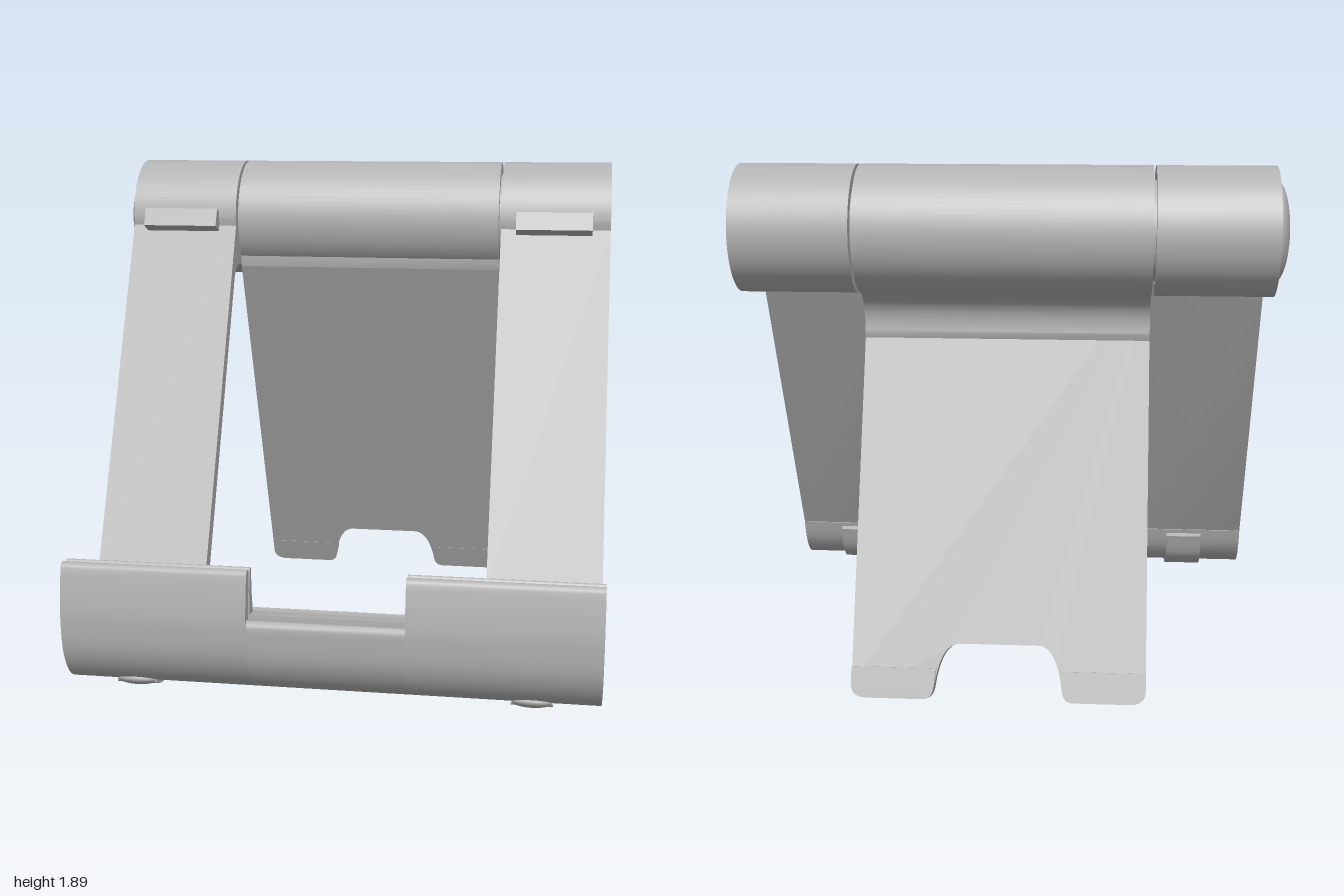
import * as THREE from 'three';
import { toCreasedNormals } from 'three/addons/utils/BufferGeometryUtils.js';

const grey = new THREE.MeshStandardMaterial({ color: 0xb2b2b2 });
grey.name = 'grey plastic';
const HINGE = { z: -0.39, y: 1.66, r: 0.235 };
const V = (z, y) => new THREE.Vector2(z, y);

export function createModel() {
  const model = new THREE.Group();

  function add(name, geometry, parent = model) {
    const mesh = new THREE.Mesh(geometry, grey);
    mesh.name = name;
    parent.add(mesh);
    return mesh;
  }

  // Side profile drawn in (z, y) and extruded across from x0 to x1
  function profile(name, shape, x0, x1) {
    const g = new THREE.ExtrudeGeometry(shape, { depth: x1 - x0, bevelEnabled: false, curveSegments: 40 });
    g.rotateY(-Math.PI / 2).translate(x1, 0, 0);
    return add(name, toCreasedNormals(g, 0.6));
  }

  // Curved strip of even thickness with a rounded far end
  function ribbon(points, t) {
    const curve = new THREE.SplineCurve(points.map(p => V(...p)));
    const n = 40, a = [], b = [];
    for (let i = 0; i <= n; i++) {
      const p = curve.getPointAt(i / n), d = curve.getTangentAt(i / n);
      const nrm = V(-d.y, d.x).multiplyScalar(t / 2);
      a.push(p.clone().sub(nrm));
      b.push(p.clone().add(nrm));
    }
    const end = curve.getPoint(1), d = curve.getTangent(1), tip = [];
    for (let i = 1; i < 8; i++) {
      const k = i * Math.PI / 8;
      tip.push(V(end.x + (d.y * Math.cos(k) + d.x * Math.sin(k)) * t / 2,
        end.y + (-d.x * Math.cos(k) + d.y * Math.sin(k)) * t / 2));
    }
    return new THREE.Shape([...a, ...tip, ...b.reverse()]);
  }

  function rod(name, r, x0, x1) {
    const g = new THREE.CylinderGeometry(r, r, x1 - x0, 64).rotateZ(Math.PI / 2);
    add(name, g).position.set((x0 + x1) / 2, HINGE.y, HINGE.z);
  }

  // Hinge barrel, inner shaft and domed end caps
  rod('hingeShaft', 0.184, -0.95, 0.985);
  rod('hingeBarrel', HINGE.r, -0.51, 0.553);
  for (const [x, bulge, side] of [[-0.95, 0.05, 1], [0.985, 0.014, -1]]) {
    const cap = new THREE.SphereGeometry(0.184, 48, 16, 0, Math.PI * 2, 0, Math.PI / 2);
    cap.scale(1, bulge / 0.184, 1).rotateZ(side * Math.PI / 2);
    add('hingeCap', cap).position.set(x, HINGE.y, HINGE.z);
  }

  // Arms with hinge ring and grip pad
  const arm = new THREE.Shape();
  arm.moveTo(0.46, 0.345);
  arm.lineTo(-0.159, 1.64);
  arm.absarc(HINGE.z, HINGE.y, HINGE.r, 0.02, 5.36, false);
  arm.bezierCurveTo(-0.18, 1.485, -0.14, 1.475, -0.11, 1.415);
  arm.lineTo(0.455, 0.22);
  arm.lineTo(0.5, 0.15);
  arm.lineTo(0.53, 0.2);
  arm.closePath();
  arm.holes.push(new THREE.Path().absarc(HINGE.z, HINGE.y, 0.194, 0, Math.PI * 2, true));
  for (const [x0, x1] of [[-0.95, -0.52], [0.563, 0.995]]) {
    profile('arm', arm, x0, x1);
    const pad = add('gripPad', new THREE.BoxGeometry(0.3, 0.075, 0.06));
    pad.position.set((x0 + x1) / 2 - 0.005, 1.665, -0.135);
    pad.rotation.x = -0.44;
  }

  // Outer cradle, with the front lip cut away in the middle
  const start = [[0.472, 0.23], [0.505, 0.14], [0.57, 0.07], [0.68, 0.04], [0.79, 0.075], [0.855, 0.17], [0.872, 0.29]];
  const lipped = ribbon([...start, [0.865, 0.39], [0.848, 0.485]], 0.045);
  const low = ribbon([...start, [0.872, 0.305]], 0.045);
  const segments = [
    [-0.95, -0.52, true, true], [-0.52, -0.265, true, false], [-0.265, 0.305, false, false],
    [0.305, 0.563, true, false], [0.563, 0.995, true, true],
  ];
  profile('cradleLeft', lipped, 0.305, 0.995);
  profile('cradleMiddle', low, -0.265, 0.305);
  profile('cradleRight', lipped, -0.95, -0.265);

  // Inner liner, with front and back lips where wanted
  function liner(front, back) {
    const s = new THREE.Shape();
    s.moveTo(0.51, 0.2);
    s.quadraticCurveTo(0.56, 0.085, 0.68, 0.08);
    s.quadraticCurveTo(0.81, 0.1, 0.825, 0.24);
    if (front) {
      s.lineTo(0.822, 0.42);
      s.lineTo(0.812, 0.49);
      s.quadraticCurveTo(0.8, 0.515, 0.787, 0.49);
      s.lineTo(0.785, 0.41);
    } else s.lineTo(0.82, 0.33);
    s.lineTo(0.768, 0.325);
    s.lineTo(0.56, 0.232);
    if (back) {
      s.lineTo(0.49, 0.35);
      s.quadraticCurveTo(0.47, 0.365, 0.455, 0.345);
    } else s.lineTo(0.5, 0.235);
    s.closePath();
    return s;
  }
  for (const [x0, x1, front, back] of segments) profile('liner', liner(front, back), x0, x1);

  // Rubber feet wrapped under the cradle
  const clip = ribbon([[0.447, 0.2], [0.487, 0.1], [0.56, 0.04], [0.68, 0.011], [0.77, 0.035]], 0.022);
  for (const x of [-0.705, 0.75]) {
    profile('cradleFoot', clip, x - 0.075, x + 0.075);
    const nose = new THREE.SphereGeometry(0.075, 24, 12).scale(1, 0.28, 0.6);
    const mesh = add('cradleFootNose', nose);
    mesh.position.set(x, 0.038, 0.77);
    mesh.rotation.x = -0.4;
  }

  // Root joining the rear leg to the barrel
  const root = new THREE.Shape();
  root.moveTo(-0.207, 1.53);
  root.lineTo(-0.207, 1.47);
  root.lineTo(-0.3, 1.25);
  root.lineTo(-0.352, 1.235);
  root.lineTo(-0.365, 1.27);
  root.bezierCurveTo(-0.35, 1.36, -0.39, 1.4, -0.46, 1.44);
  root.lineTo(-0.4, 1.55);
  root.closePath();
  profile('legRoot', root, -0.51, 0.553);

  // Rear leg plate with a notch between two feet
  const leg = new THREE.Group();
  leg.name = 'rearLeg';
  leg.position.set(0.022, 1.47, -0.207);
  leg.rotation.x = 0.397;
  model.add(leg);
  const end = -1.592, half = 0.532;
  const plate = new THREE.Shape();
  plate.moveTo(-half, 0);
  plate.lineTo(-half, end + 0.05);
  plate.quadraticCurveTo(-half, end, -half + 0.06, end);
  plate.lineTo(-0.27, end);
  plate.quadraticCurveTo(-0.235, end, -0.23, end + 0.05);
  plate.quadraticCurveTo(-0.21, end + 0.19, -0.15, end + 0.2);
  plate.lineTo(0.15, end + 0.2);
  plate.quadraticCurveTo(0.21, end + 0.19, 0.23, end + 0.05);
  plate.quadraticCurveTo(0.235, end, 0.27, end);
  plate.lineTo(half - 0.06, end);
  plate.quadraticCurveTo(half, end, half, end + 0.05);
  plate.lineTo(half, 0);
  plate.closePath();
  const plateGeo = new THREE.ExtrudeGeometry(plate, { depth: 0.05, bevelEnabled: false, curveSegments: 10 });
  add('legPlate', toCreasedNormals(plateGeo.translate(0, 0, -0.05), 0.6), leg);

  // Thicker pads on the two feet
  for (const side of [-1, 1]) {
    const foot = new THREE.Shape();
    foot.moveTo(side * half, end + 0.11);
    foot.lineTo(side * half, end + 0.05);
    foot.quadraticCurveTo(side * half, end, side * (half - 0.06), end);
    foot.lineTo(side * 0.27, end);
    foot.quadraticCurveTo(side * 0.235, end, side * 0.23, end + 0.05);
    foot.lineTo(side * 0.224, end + 0.11);
    foot.closePath();
    const g = new THREE.ExtrudeGeometry(foot, { depth: 0.065, bevelEnabled: false, curveSegments: 10 });
    add('legFoot', toCreasedNormals(g.translate(0, 0, -0.064), 0.6), leg);
  }
  return model;
}
